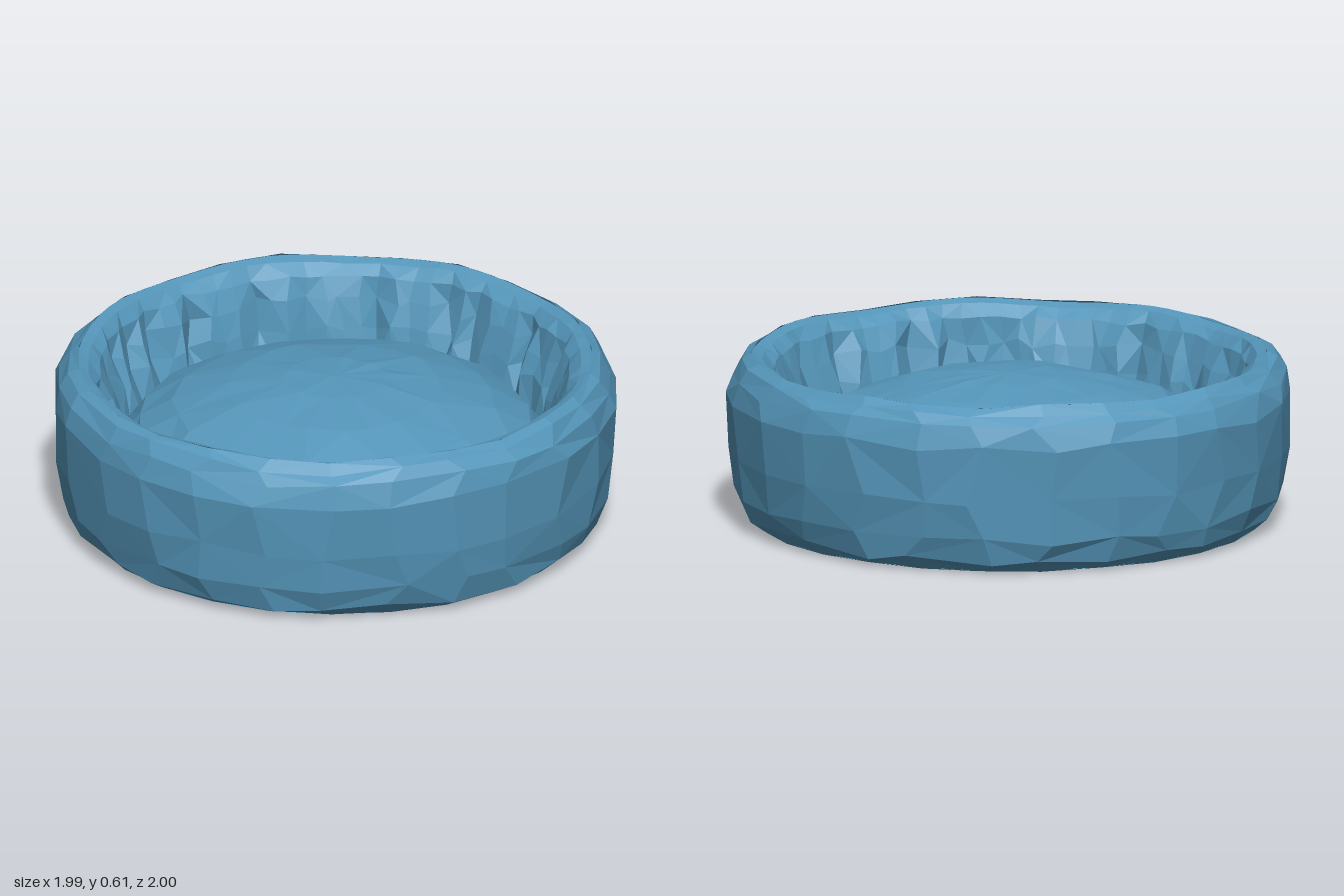
import * as THREE from 'three';

// Small seeded random, returns -1..1
function seeded(seed) {
  let s = seed;
  return () => {
    s = (s * 16807) % 2147483647;
    return (s / 2147483647) * 2 - 1;
  };
}

// Joins rings of points; at(row, angle, column) gives [radius, height, angle]
function loft(rowCount, segments, at) {
  const points = [], index = [];
  for (let j = 0; j < rowCount; j++) {
    for (let i = 0; i < segments; i++) {
      const [r, y, a] = at(j, (i / segments) * Math.PI * 2, i);
      points.push(r * Math.sin(a), y, r * Math.cos(a));
    }
  }
  for (let j = 0; j < rowCount - 1; j++) {
    for (let i = 0; i < segments; i++) {
      const a = j * segments + i, b = j * segments + ((i + 1) % segments);
      const c = a + segments, d = b + segments;
      // Alternate the diagonals for a crumpled cloth look
      if ((i + j) % 2) index.push(a, b, d, a, d, c);
      else index.push(a, b, c, b, d, c);
    }
  }
  const geometry = new THREE.BufferGeometry();
  geometry.setAttribute('position', new THREE.Float32BufferAttribute(points, 3));
  geometry.setIndex(index);
  geometry.computeVertexNormals();
  return geometry;
}

const crest = (a) => 0.007 * Math.cos(a * 8);

export function createModel() {
  const group = new THREE.Group();
  const fabric = new THREE.MeshStandardMaterial({
    color: 0x5596ba, flatShading: true, side: THREE.DoubleSide,
  });
  fabric.name = 'blue fabric';
  const add = (name, geometry) => {
    const mesh = new THREE.Mesh(geometry, fabric);
    mesh.name = name;
    group.add(mesh);
  };

  // Padded outer wall, from the bottom edge up to the rim
  const outer = [[0.89, 0.01], [0.945, 0.05], [0.972, 0.13], [0.988, 0.27],
    [0.998, 0.47], [0.978, 0.54], [0.945, 0.585], [0.91, 0.608]];
  const rnd = seeded(7);
  add('outerWall', loft(outer.length, 26, (j, a) => {
    const [r, y] = outer[j];
    const edge = j === 0 || j === outer.length - 1;
    const k = edge ? 0.2 : 1;
    const wave = j > 4 ? crest(a) : 0;
    return [r + rnd() * 0.005 * k, y + wave + rnd() * 0.015 * k, a + rnd() * 0.05 * k];
  }));

  // Gathered inner wall: soft rim, pleated side, then a smoother underside
  const inner = [[0.908, 0.606, 0], [0.872, 0.594, 0.1], [0.835, 0.555, 0.4],
    [0.803, 0.47, 1], [0.775, 0.38, 1], [0.752, 0.27, 0.4], [0.785, 0.12, 0.15],
    [0.888, 0.012, 0]];
  const rnd2 = seeded(23);
  const segments = 80;
  // Shallow folds everywhere, with a deep pleat now and then
  const pleats = Array.from({ length: segments }, () => {
    const n = rnd2();
    return n > 0.5 ? 0.042 : n * 0.022;
  });
  pleats[0] = pleats[segments / 2] = 0.05;
  // Four places where the wall stands away from the cushion
  const gapAngles = [0.65, -0.65, 2.49, -2.49];
  add('innerWall', loft(inner.length, segments, (j, a, i) => {
    const [r, y, fold] = inner[j];
    let gap = 0;
    for (const c of gapAngles) {
      const d = Math.atan2(Math.sin(a - c), Math.cos(a - c));
      gap += 0.04 * Math.exp(-d * d * 900);
    }
    const open = j > 2 && j < 7 ? gap : 0;
    const wave = j < 2 ? crest(a) : 0;
    return [r + pleats[i] * fold + open,
      y + wave + rnd2() * 0.02 * fold, a + rnd2() * 0.03 * fold];
  }));

  // Domed cushion with a flat underside
  const cushion = [[0, 0.03], [0.745, 0.03], [0.76, 0.09], [0.768, 0.2], [0.755, 0.28],
    [0.7, 0.365], [0.57, 0.438], [0.38, 0.497], [0.18, 0.53], [0, 0.538]];
  const rnd3 = seeded(41);
  add('cushion', loft(cushion.length, 22, (j, a) => {
    const [r, y] = cushion[j];
    const k = r === 0 || j < 2 ? 0 : 1;
    return [r + rnd3() * 0.01 * k, y + rnd3() * 0.005 * k, a + rnd3() * 0.06 * k];
  }));

  return group;
}
